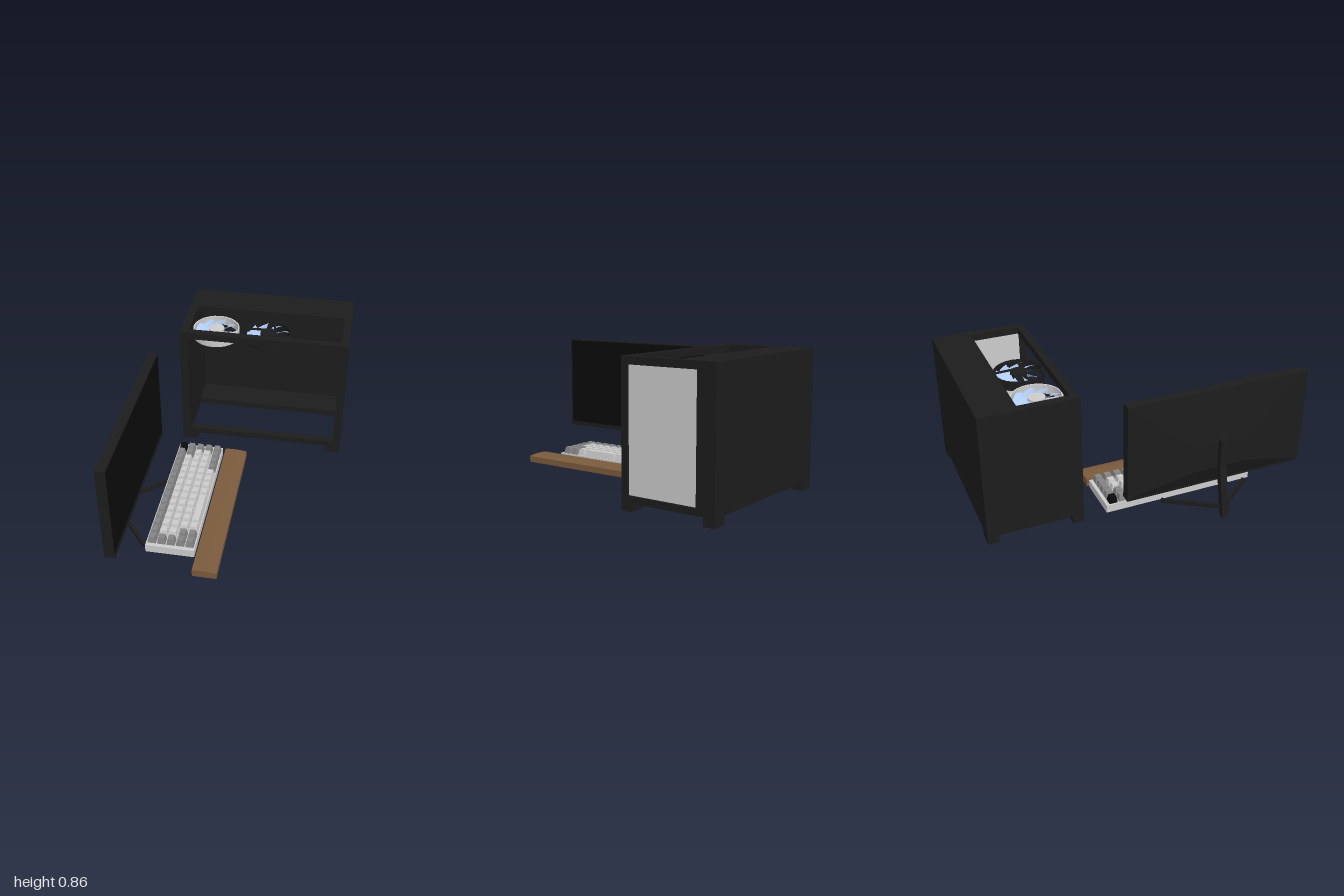
import * as THREE from 'three';

const mat = (color) => new THREE.MeshStandardMaterial({ color, flatShading: true, side: THREE.DoubleSide });
const black = mat(0x1c1c1c), screenBlack = mat(0x0b0b0b), grey = mat(0xcccccc);
const darkGrey = mat(0x858585), wood = mat(0x7a5a3c), blue = mat(0xb0ccf8);

function add(parent, name, geometry, material) {
  const mesh = new THREE.Mesh(geometry, material);
  mesh.name = name;
  parent.add(mesh);
  return mesh;
}

// Box given by its limits on each axis
function slab(parent, name, [x0, x1], [y0, y1], [z0, z1], material) {
  const mesh = add(parent, name, new THREE.BoxGeometry(x1 - x0, y1 - y0, z1 - z0), material);
  mesh.position.set((x0 + x1) / 2, (y0 + y1) / 2, (z0 + z1) / 2);
  return mesh;
}

// Straight bar between two points
function bar(parent, name, a, b, width, height, material) {
  const from = new THREE.Vector3(...a), to = new THREE.Vector3(...b);
  const mesh = add(parent, name, new THREE.BoxGeometry(width, height, from.distanceTo(to)), material);
  mesh.position.copy(from).lerp(to, 0.5);
  mesh.lookAt(to);
  return mesh;
}

function group(parent, name) {
  const g = new THREE.Group();
  g.name = name;
  parent.add(g);
  return g;
}

// Outline in (x, y) pulled along z from z0 to z1
function prism(parent, name, points, z0, z1, material) {
  const shape = new THREE.Shape(points.map((p) => new THREE.Vector2(...p)));
  const geo = new THREE.ExtrudeGeometry(shape, { depth: z1 - z0, bevelEnabled: false });
  add(parent, name, geo, material).position.z = z0;
}

function buildCase(root) {
  const g = group(root, 'computerCase');
  const X = [-0.4, 0.7], Y = [0.05, 0.855];
  slab(g, 'backWall', X, Y, [-1, -0.95], black);
  slab(g, 'solidSideWall', [-0.4, -0.345], Y, [-0.95, -0.4], black);
  // Top and bottom: deep rear plate and narrow front rail around an opening
  for (const [end, ys] of [['top', [0.81, 0.855]], ['bottom', [0.05, 0.09]]]) {
    slab(g, end + 'Plate', [-0.345, 0.7], ys, [-0.95, -0.76], black);
    slab(g, end + 'FrontRail', [-0.345, 0.7], ys, [-0.45, -0.4], black);
    slab(g, end + 'SideRail', [0.65, 0.7], ys, [-0.76, -0.45], black);
  }
  slab(g, 'frontPost', [0.65, 0.7], [0.09, 0.81], [-0.44, -0.4], black);
  slab(g, 'rearPost', [0.65, 0.7], [0.09, 0.81], [-0.95, -0.885], black);
  slab(g, 'sidePanel', [0.665, 0.685], [0.09, 0.81], [-0.885, -0.44], grey);
  for (const xs of [[-0.4, -0.3], [0.6, 0.7]])
    for (const zs of [[-0.47, -0.4], [-1, -0.93]]) slab(g, 'foot', xs, [0, 0.05], zs, black);
}

// Pitched fan blade that widens outwards
function bladeGeometry() {
  const geo = new THREE.PlaneGeometry(1, 1, 3, 3);
  const p = geo.attributes.position;
  for (let i = 0; i < p.count; i++) {
    const u = p.getX(i), v = p.getY(i) + 0.5;
    const r = 0.048 + 0.095 * v, angle = u * 0.52 + 0.16 * v * v;
    p.setXYZ(i, r * Math.cos(angle), u * (0.036 - 0.008 * v), r * Math.sin(angle));
  }
  geo.computeVertexNormals();
  return geo;
}

function buildFan(root, x, material, flipped) {
  const g = group(root, 'fan');
  g.position.set(x, 0.77, -0.595);
  if (flipped) g.rotation.x = Math.PI;
  const ring = [[0.146, -0.03], [0.155, -0.03], [0.155, 0.03], [0.146, 0.03], [0.146, -0.03]];
  add(g, 'fanRing', new THREE.LatheGeometry(ring.map((q) => new THREE.Vector2(...q)), 24), material);
  add(g, 'fanHub', new THREE.CylinderGeometry(0.052, 0.052, 0.056, 20), material);
  const blade = bladeGeometry();
  for (let i = 0; i < 9; i++) add(g, 'fanBlade', blade, blue).rotation.y = (i / 9) * Math.PI * 2;
  // Struts run off-centre from the hub to the ring
  for (let i = 0; i < 4; i++) {
    const arm = group(g, 'fanStrut');
    arm.rotation.y = (i * Math.PI) / 2 + 0.05;
    slab(arm, 'strut', [0.02, 0.145], [0.018, 0.028], [0.032, 0.044], material);
  }
}

function buildMonitor(root) {
  const g = group(root, 'monitor');
  slab(g, 'bezel', [-0.553, -0.493], [0.185, 0.82], [-0.18, 1], black);
  slab(g, 'chin', [-0.553, -0.488], [0.18, 0.207], [-0.18, 1], black);
  slab(g, 'screen', [-0.5, -0.491], [0.207, 0.812], [-0.172, 0.992], screenBlack);
  // Rear shell tapers towards the stand
  const shell = new THREE.BoxGeometry(1, 1, 1);
  const p = shell.attributes.position;
  for (let i = 0; i < p.count; i++) {
    const rear = p.getX(i) < 0, up = p.getY(i) > 0, near = p.getZ(i) > 0;
    if (rear) p.setXYZ(i, -0.6, up ? 0.48 : 0.31, near ? 0.59 : 0.23);
    else p.setXYZ(i, -0.553, up ? 0.82 : 0.195, near ? 1 : -0.18);
  }
  shell.computeVertexNormals();
  add(g, 'rearShell', shell, black);
  // Stand: bent post and two splayed legs
  prism(g, 'standPost', [[-0.705, 0], [-0.667, 0], [-0.598, 0.31], [-0.598, 0.51], [-0.636, 0.51], [-0.636, 0.33]],
    0.388, 0.432, black);
  for (const side of [-1, 1])
    bar(g, 'standLeg', [-0.675, 0.062, 0.41], [-0.405, 0.01, 0.41 + side * 0.295], 0.022, 0.024, black);
}

// Keycap narrower at the top
function keyGeometry(w, d) {
  const geo = new THREE.BoxGeometry(w, 0.044, d);
  const p = geo.attributes.position;
  for (let i = 0; i < p.count; i++)
    if (p.getY(i) > 0) {
      p.setX(i, p.getX(i) - Math.sign(p.getX(i)) * 0.008);
      p.setZ(i, p.getZ(i) - Math.sign(p.getZ(i)) * 0.008);
    }
  geo.computeVertexNormals();
  return geo;
}

function buildKeyboard(root) {
  const g = group(root, 'keyboard');
  slab(g, 'keyboardBase', [-0.386, -0.086], [0.004, 0.056], [-0.245, 0.75], grey);
  const key = keyGeometry(0.052, 0.055), space = keyGeometry(0.052, 0.25);
  for (let row = 0; row < 15; row++)
    for (let col = 0; col < 5; col++) {
      if (col === 4 && row >= 8 && row <= 11) continue;
      const dark = col === 0 ? row !== 1 || row > 0 : row < 2 && (row === 0 || col < 2) || row === 14 ||
        (col === 4 && row < 4) || row === 13 && col > 2;
      const material = row + col === 0 ? screenBlack : dark ? darkGrey : grey;
      add(g, 'key', key, material).position.set(-0.351 + col * 0.058, 0.077, -0.195 + row * 0.0638);
    }
  add(g, 'spaceBar', space, grey).position.set(-0.119, 0.077, -0.195 + 9.5 * 0.0638);
}

export function createModel() {
  const root = new THREE.Group();
  root.name = 'desktopComputer';
  buildCase(root);
  buildFan(root, -0.19, grey, true);
  buildFan(root, 0.16, black, false);
  buildMonitor(root);
  buildKeyboard(root);
  // Wooden wrist rest with a gently sloping top
  prism(root, 'wristRest', [[-0.07, 0], [0.076, 0], [0.076, 0.04], [0.05, 0.046], [0.01, 0.05], [-0.07, 0.05]],
    -0.255, 0.895, wood);
  return root;
}
